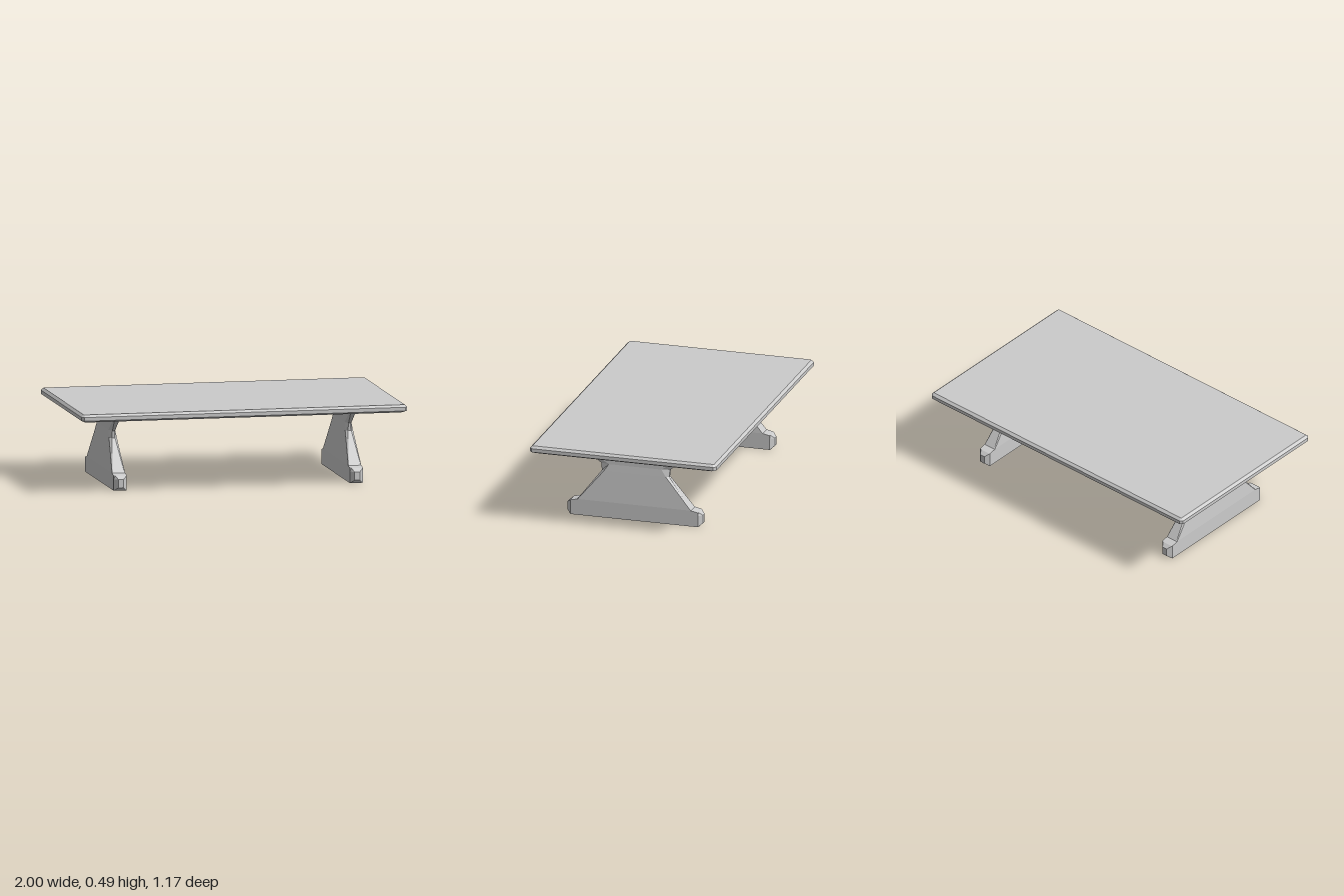
import * as THREE from 'three';

const material = new THREE.MeshStandardMaterial({ color: 0xcccccc, flatShading: true });

// Eight-sided cross-section: long sides at x = ±w reach z = ±f,
// end faces at z = ±e reach x = ±n.
function ring([y, w, f, n, e]) {
  return [[w, f], [w, -f], [n, -e], [-n, -e], [-w, -f], [-w, f], [-n, e], [n, e]]
    .map(([x, z]) => new THREE.Vector3(x, y, z));
}

// Joins stacked cross-sections (bottom to top) into a closed solid.
function loft(name, sections) {
  const rings = sections.map(ring);
  const points = [];
  const count = 8;
  for (let s = 0; s < rings.length - 1; s++) {
    for (let i = 0; i < count; i++) {
      const j = (i + 1) % count;
      const a = rings[s][i], b = rings[s][j], c = rings[s + 1][j], d = rings[s + 1][i];
      points.push(a, b, c, a, c, d);
    }
  }
  // End caps
  const bottom = rings[0], top = rings[rings.length - 1];
  for (let i = 1; i < count - 1; i++) {
    points.push(bottom[0], bottom[i + 1], bottom[i]);
    points.push(top[0], top[i], top[i + 1]);
  }
  const geometry = new THREE.BufferGeometry().setFromPoints(points);
  geometry.computeVertexNormals();
  const mesh = new THREE.Mesh(geometry, material);
  mesh.name = name;
  return mesh;
}

export function createModel() {
  const table = new THREE.Group();
  table.name = 'table';

  // Thin top with bevelled rims and clipped corners
  table.add(loft('tableTop', [
    [0.443, 0.975, 0.55, 0.965, 0.56],
    [0.455, 1, 0.57, 0.985, 0.585],
    [0.477, 1, 0.57, 0.985, 0.585],
    [0.491, 0.985, 0.565, 0.98, 0.57],
  ]));

  // Trestle: blunt foot, pinched waist, flared head
  const profile = [
    [0, 0.04, 0.4, 0.036, 0.402],
    [0.02, 0.04, 0.4, 0.016, 0.425],
    [0.07, 0.04, 0.4, 0.016, 0.425],
    [0.09, 0.04, 0.4, 0.03, 0.402],
    [0.1, 0.04, 0.355, 0.036, 0.358],
    [0.29, 0.024, 0.195, 0.01, 0.211],
    [0.335, 0.02, 0.165, 0.008, 0.216],
    [0.405, 0.02, 0.28, 0.014, 0.3],
    [0.445, 0.037, 0.55, 0.034, 0.56],
  ];
  for (const [name, side] of [['leftTrestle', 1], ['rightTrestle', -1]]) {
    const trestle = loft(name, profile);
    trestle.position.x = side * 0.725;
    table.add(trestle);
  }
  return table;
}
